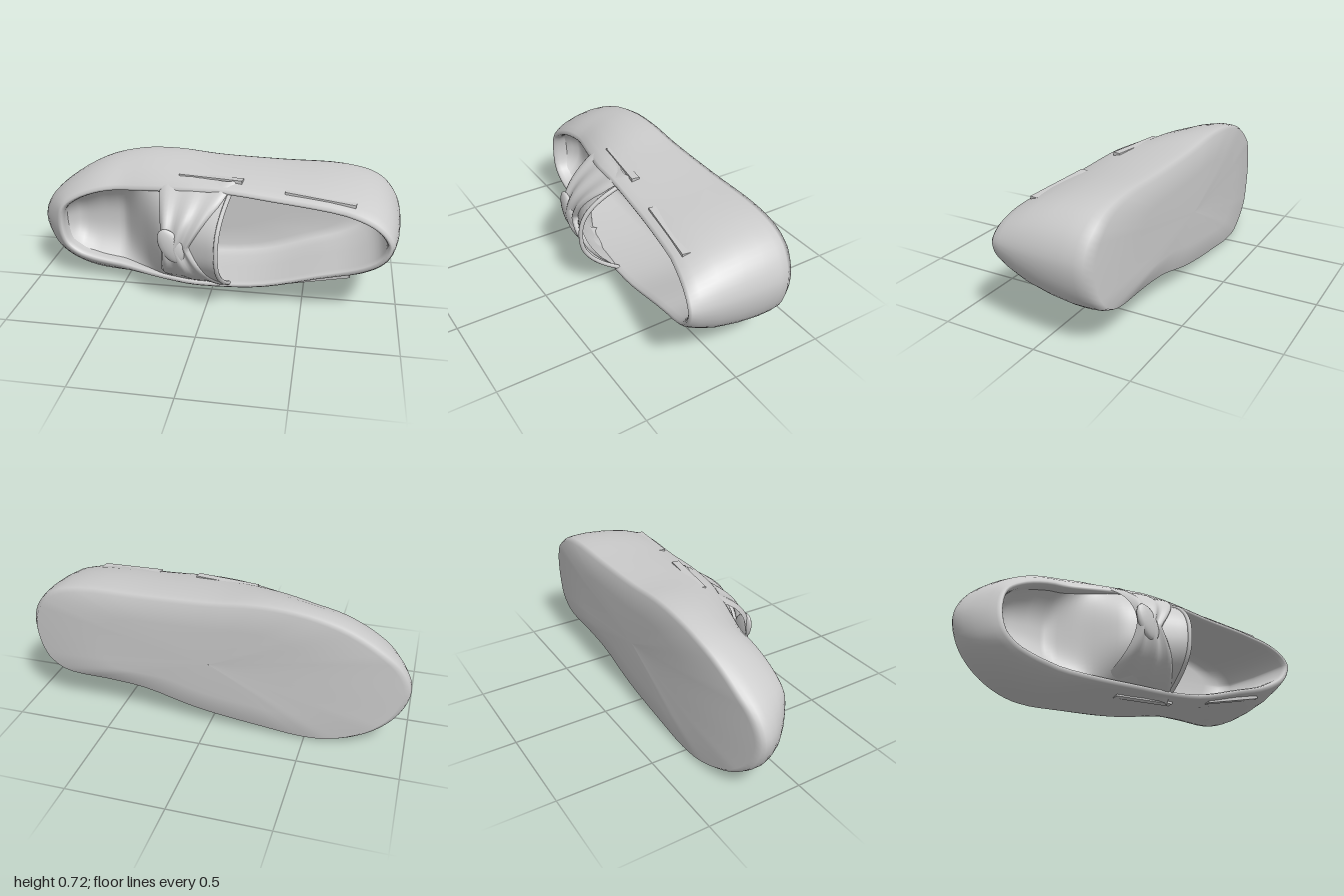
import * as THREE from 'three';

const V2 = (a) => a.map(([x, y]) => new THREE.Vector3(x, y, 0));
// widest outline of the shoe and outline of its upper rim, heel round to heel
const OUTER = V2([[.99, .45], [.95, .57], [.86, .65], [.7, .69], [.35, .695], [0, .705], [-.24, .725], [-.44, .715],
  [-.65, .66], [-.85, .54], [-.96, .43], [-1, .32], [-.96, .19], [-.87, .1], [-.73, .03], [-.56, .005],
  [-.3, .03], [0, .065], [.3, .1], [.6, .165], [.85, .2], [.95, .29]]);
const RIM = V2([[.94, .45], [.91, .51], [.84, .56], [.7, .6], [.35, .63], [.05, .65], [-.2, .63], [-.42, .6],
  [-.62, .57], [-.77, .51], [-.85, .44], [-.87, .33], [-.84, .22], [-.77, .16], [-.68, .13], [-.52, .105],
  [-.28, .085], [0, .085], [.3, .12], [.58, .21], [.78, .28], [.9, .36]]);

const lerp = THREE.MathUtils.lerp;
// linear interpolation through [position, value] pairs
function track(keys) {
  return (x) => {
    if (x <= keys[0][0]) return keys[0][1];
    for (let i = 1; i < keys.length; i++) {
      const [a, va] = keys[i - 1], [b, vb] = keys[i];
      if (x <= b) return lerp(va, vb, (x - a) / (b - a));
    }
    return keys[keys.length - 1][1];
  };
}
const soleZ = track([[-1, -.24], [-.85, -.28], [-.6, -.315], [-.4, -.325], [.9, -.325], [1, -.31]]);
const rimZ = track([[-1, -.04], [-.85, 0], [-.5, .005], [-.3, .06], [-.1, .11], [.1, .125], [.4, .15], [.7, .19], [.95, .25]]);
const rimTop = track([[-.87, .37], [-.85, .44], [-.77, .51], [-.62, .57], [-.42, .6], [-.2, .63], [.15, .64]]);
const rimBottom = track([[-.87, .3], [-.84, .22], [-.77, .16], [-.68, .13], [-.52, .105], [-.28, .085], [.15, .1]]);

const N = 88;
const sample = (pts) => {
  const curve = new THREE.CatmullRomCurve3(pts, true, 'centripetal');
  return Array.from({ length: N }, (_, i) => curve.getPoint(i / N));
};
// move a closed outline inwards
const inset = (ring, d) => ring.map((p, i) => {
  const t = ring[(i + 1) % N].clone().sub(ring[(i + N - 1) % N]).normalize();
  return new THREE.Vector3(p.x - t.y * d, p.y + t.x * d, 0);
});

function build(positions, index) {
  const g = new THREE.BufferGeometry();
  g.setAttribute('position', new THREE.Float32BufferAttribute(positions, 3));
  g.setIndex(index);
  g.computeVertexNormals();
  return g;
}

function loft(rings) {
  const pos = [], idx = [];
  rings.forEach((r) => r.forEach((p) => pos.push(p.x, p.y, p.z)));
  for (let i = 0; i < rings.length - 1; i++) {
    for (let j = 0; j < N; j++) {
      const k = (j + 1) % N, a = i * N, b = a + N;
      idx.push(a + j, a + k, b + k, a + j, b + k, b + j);
    }
  }
  return build(pos, idx);
}

function sheet(nu, nv, f) {
  const pos = [], idx = [];
  for (let i = 0; i <= nu; i++) for (let j = 0; j <= nv; j++) pos.push(...f(i / nu, j / nv * 2 - 1));
  for (let i = 0; i < nu; i++) {
    for (let j = 0; j < nv; j++) {
      const a = i * (nv + 1) + j, b = a + nv + 1;
      idx.push(a, b, b + 1, a, b + 1, a + 1);
    }
  }
  return build(pos, idx);
}

export function createModel() {
  const shoe = new THREE.Group();
  shoe.name = 'shoe';
  const material = new THREE.MeshStandardMaterial({ color: 0xcccccc });
  const thin = new THREE.MeshStandardMaterial({ color: 0xcccccc, side: THREE.DoubleSide });
  const add = (name, geometry, mat = material) => {
    const mesh = new THREE.Mesh(geometry, mat);
    mesh.name = name;
    shoe.add(mesh);
    return mesh;
  };

  // outer wall with a tucked-in arch, rolled rim, inner wall and insole in one skin
  const outer = sample(OUTER), rim = sample(RIM), inner = inset(rim, .03);
  const level = (mix, t, shrink = 1) => outer.map((p, i) => {
    const q = p.clone().lerp(rim[i], mix);
    const tuck = p.y < .3 ? .045 * Math.exp(-(((p.x - .35) / .22) ** 2)) * Math.max(0, 1 - t / .7) : 0;
    q.set(q.x * shrink, .37 + (q.y + tuck - .37) * shrink, 0);
    q.z = lerp(soleZ(q.x), rimZ(q.x), t);
    return q;
  });
  const lining = (ring, z, shrink = 1) => ring.map((p) =>
    new THREE.Vector3(p.x * shrink, .37 + (p.y - .37) * shrink, z(p.x * shrink)));
  const insole = (x) => soleZ(x) + .07;
  add('upperAndSole', loft([
    level(0, 0, .001), level(0, 0, .6), level(0, .015, .965), level(0, .08, .993),
    level(0, .16), level(0, .3), level(.12, .5), level(.36, .72), level(.72, .9), level(.95, .98),
    lining(inset(rim, .01), (x) => rimZ(x) + .004),
    lining(inset(rim, .022), (x) => rimZ(x) - .002),
    lining(inner, (x) => rimZ(x) - .025),
    lining(inner, (x) => lerp(insole(x), rimZ(x), .5)),
    lining(inner, (x) => insole(x) + .07, .98), lining(inner, (x) => insole(x) + .02, .92),
    lining(inner, insole, .8), lining(inner, insole, .4), lining(inner, insole, .001),
  ]));

  // hollowed toe panel that rises into the arched tongue
  const arch = track([[-.87, -.02], [-.78, -.1], [-.5, -.1], [-.35, .0], [-.22, .1], [-.05, .15], [.1, .2]]);
  const sink = track([[-.87, .03], [-.75, .045], [-.45, .04], [-.25, .02], [.1, .015]]);
  const tongue = (u, v) => {
    const x = lerp(-.865, .11, u);
    const m = (rimTop(x) + rimBottom(x)) / 2, h = (rimTop(x) - rimBottom(x)) / 2 - .015;
    const rise = 1 - Math.pow(Math.abs(v), 2.5);
    return [x - .04 * u * rise, m + h * v, rimZ(x) - sink(x) + arch(x) * rise];
  };
  add('toePanelAndTongue', sheet(36, 20, tongue), thin);
  const edge = Array.from({ length: 13 }, (_, i) => new THREE.Vector3(...tongue(1, i / 6 - 1)));
  add('tongueEdge', new THREE.TubeGeometry(new THREE.CatmullRomCurve3(edge), 32, .012, 8));

  // strap across the instep, flared at its ends and gathered in the middle
  add('strap', sheet(16, 32, (u, v) => {
    const w = Math.abs(v), s = u * 2 - 1;
    const x = lerp(-.15, -.07, w) + s * (.075 + .135 * Math.pow(w, 1.2));
    const fold = .014 * Math.cos(s * Math.PI * 2.5) * (1 - .6 * w);
    const lip = .03 * Math.pow(Math.abs(s), 6);
    return [x, .375 + v * (.298 + .006 * s), .035 + .04 * w * s + .235 * (1 - Math.pow(w, 2.5)) + fold - lip];
  }), thin);
  const knot = add('knot', new THREE.SphereGeometry(1, 16, 12));
  knot.scale.set(.06, .1, .025);
  knot.position.set(-.17, .38, .258);
  knot.rotation.z = .5;

  // low trim bars let into the sides, rising towards the heel
  const bar = (name, x, y, z, length, turn) => {
    const mesh = add(name, new THREE.BoxGeometry(length, .022, .04));
    mesh.position.set(x, y, z);
    mesh.rotation.set(0, -.14, turn, 'ZYX');
  };
  bar('leftStrapHem', 0, .672, .02, .34, 0);
  bar('leftHeelBar', .57, .63, .115, .36, -.08);
  bar('rightStrapHem', 0, .078, .02, .34, .07);
  bar('rightHeelBar', .57, .19, .115, .36, .27);

  return shoe;
}
